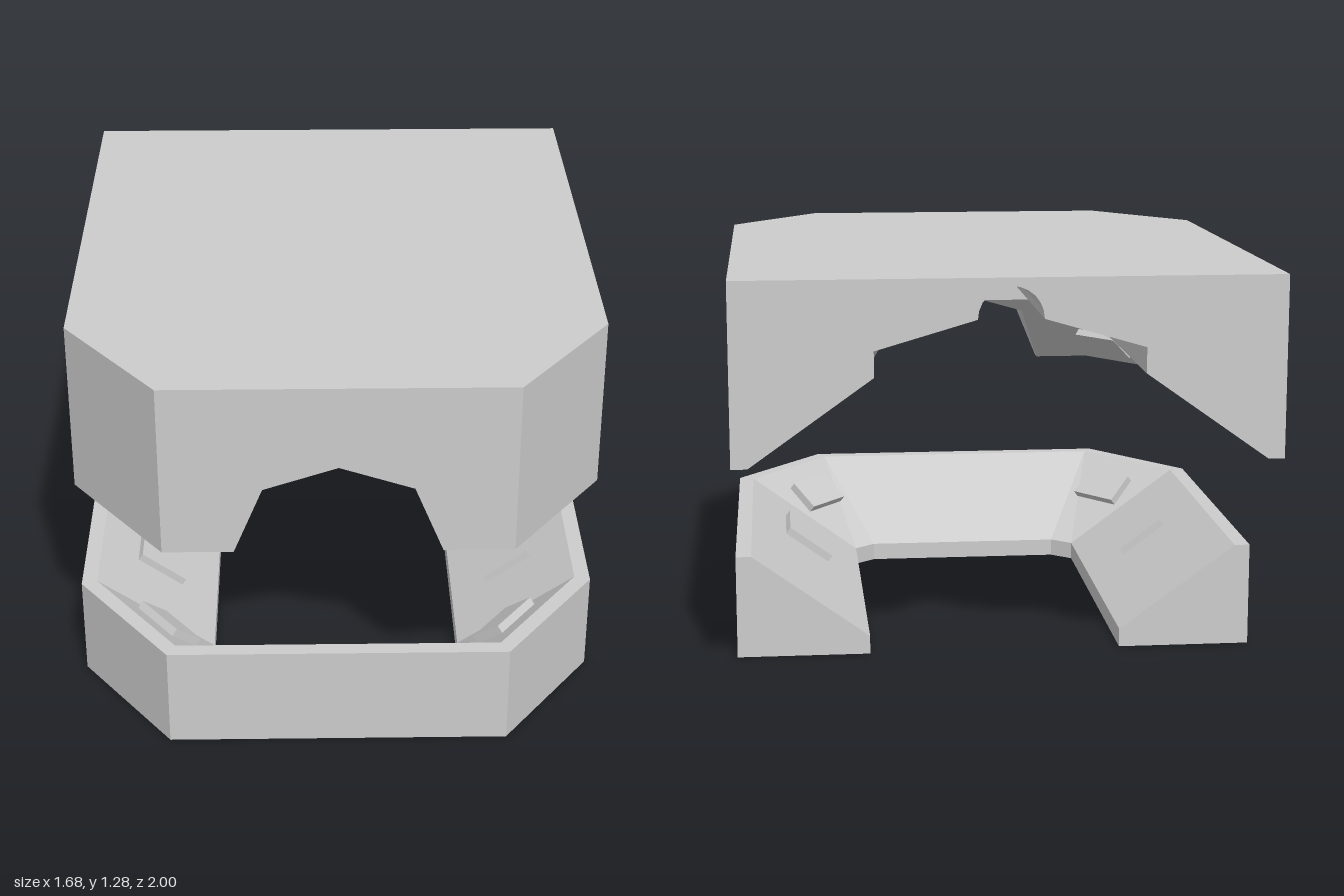
import * as THREE from 'three';

const V = (x, y, z) => new THREE.Vector3(x, y, z);

// Collects flat faces; each face is mirrored in x and turned towards dir.
class Faces {
  constructor() { this.data = []; }
  tri(a, b, c, dir) {
    const n = b.clone().sub(a).cross(c.clone().sub(a));
    const order = n.dot(dir) < 0 ? [a, c, b] : [a, b, c];
    for (const p of order) this.data.push(p.x, p.y, p.z);
    for (const p of order.reverse()) this.data.push(-p.x, p.y, p.z);
  }
  // Polygon in 3D, triangulated along the main axis of dir
  add(points, dir) {
    let tris = points.length === 3 ? [[0, 1, 2]] : [[0, 1, 2], [0, 2, 3]];
    if (points.length > 4) {
      const ax = Math.abs(dir.x), ay = Math.abs(dir.y), az = Math.abs(dir.z);
      const flat = points.map(p => ay >= ax && ay >= az ? new THREE.Vector2(p.x, p.z)
        : az >= ax ? new THREE.Vector2(p.x, p.y) : new THREE.Vector2(p.y, p.z));
      tris = THREE.ShapeUtils.triangulateShape(flat, []);
    }
    for (const [a, b, c] of tris) this.tri(points[a], points[b], points[c], dir);
  }
  // Strip between two paths; side = +1 faces outwards, -1 towards the middle
  band(a, b, side, up, from = 0) {
    for (let i = from; i < a.length - 1; i++) {
      const m = a[i].clone().add(a[i + 1]).multiplyScalar(0.5);
      const dir = up && !side ? V(0, up, 0) : V(m.x * side, up, m.z * side);
      // straight arms face sideways only
      if (side && a[i].x === a[i + 1].x) dir.z = 0;
      if (side && a[i].z === a[i + 1].z) dir.x = 0;
      this.add([a[i], a[i + 1], b[i + 1], b[i]], dir);
    }
  }
  mesh(name, material) {
    const g = new THREE.BufferGeometry();
    g.setAttribute('position', new THREE.Float32BufferAttribute(this.data, 3));
    g.computeVertexNormals();
    const m = new THREE.Mesh(g, material);
    m.name = name;
    return m;
  }
}

// Half outlines (x, z), from the front centre to the back
const outline = (back) => ({
  outer: [[0, 1], [0.54, 1], [0.84, 0.6], [0.84, back]],
  rim: [[0, 0.95], [0.515, 0.95], [0.79, 0.583], [0.79, back]],
  inner: [[0, 0.63], [0.34, 0.63], [0.41, 0.57], [0.41, back]],
});
const at = (path, y) => path.map(([x, z]) => V(x, y, z));

function lowerBase(material) {
  const f = new Faces(), o = outline(-0.56), H = 0.335, h = 0.06;
  f.band(at(o.outer, 0), at(o.outer, H), 1, 0);
  f.band(at(o.outer, H), at(o.rim, H), 0, 1);
  f.band(at(o.rim, H), at(o.inner, h), -1, 1);
  f.band(at(o.inner, h), at(o.inner, 0), -1, 0);
  f.band(at(o.inner, 0), at(o.outer, 0), 0, -1);
  // Arm ends
  f.add([[0.84, 0], [0.84, H], [0.79, H], [0.41, h], [0.41, 0]].map(([x, y]) => V(x, y, -0.56)), V(0, 0, -1));
  return f.mesh('lowerBase', material);
}

function upperBase(material) {
  const f = new Faces(), o = outline(-1);
  const Y0 = 0.72, Y1 = 0.99, Y2 = 1.07, Y3 = 1.16, TOP = 1.285, R = 0.1, ZC = 0.47;
  const down = V(0, -1, 0);
  // Top and outer walls (front wall apart)
  f.add([...at(o.outer, TOP), V(0, TOP, -1)], V(0, 1, 0));
  f.band(at(o.outer, Y0), at(o.outer, TOP), 1, 0, 1);
  // Rim, slope and inner wall of the cavity
  f.band(at(o.outer, Y0), at(o.rim, Y0), 0, -1, 1);
  f.band(at(o.rim, Y0), at(o.inner, Y1), -1, -1, 1);
  f.band(at(o.inner, Y1), at(o.inner, Y2), -1, 0, 1);
  // Front wall with its notch
  f.add([V(0, TOP, 1), V(0.54, TOP, 1), V(0.54, Y0, 1), V(0.32, Y0, 1), V(0.23, 0.94, 1), V(0, 1.015, 1)], V(0, 0, 1));
  const n0 = V(0.32, Y0, 0.95), n1 = V(0.23, 0.94, 0.689), n2 = V(0.077, Y1, 0.63), n3 = V(0, 1.015, 0.63);
  f.add([V(0.32, Y0, 1), V(0.54, Y0, 1), V(0.515, Y0, 0.95), n0], down);
  f.add([V(0.515, Y0, 0.95), n0, n1, n2, V(0.34, Y1, 0.63)], V(0, -1.01, -1));
  f.add([V(0.34, Y1, 0.63), V(0.34, Y2, 0.63), V(0, Y2, 0.63), n3, n2], V(0, 0, -1));
  f.add([V(0.32, Y0, 1), n0, n1, V(0.23, 0.94, 1)], V(-1, -0.4, 0));
  f.add([V(0.23, 0.94, 1), n1, n2, n3, V(0, 1.015, 1)], V(-0.3, -1, 0));
  // Cavity roof
  const ridge = V(R, Y3, ZC + R);
  f.add([V(0.41, Y2, -1), V(0.41, Y2, 0.57), ridge, V(R, Y3, -1)], down);
  f.add([V(0.41, Y2, 0.57), V(0.34, Y2, 0.63), ridge], down);
  f.add([V(0.34, Y2, 0.63), V(0, Y2, 0.63), V(0, Y3, ZC + R), ridge], down);
  // Centre groove with a domed front end
  const N = 6, ang = (i) => i / N * Math.PI / 2;
  const arc = (z) => Array.from({ length: N + 1 }, (_, i) => V(R * Math.cos(ang(i)), Y3 + R * Math.sin(ang(i)), z));
  const dome = (i, j) => V(R * Math.cos(ang(i)) * Math.cos(ang(j)), Y3 + R * Math.sin(ang(i)), ZC + R * Math.cos(ang(i)) * Math.sin(ang(j)));
  const back = arc(-1), front = arc(ZC);
  for (let i = 0; i < N; i++) {
    f.add([back[i], back[i + 1], front[i + 1], front[i]], V(-Math.cos(ang(i + 0.5)), -Math.sin(ang(i + 0.5)), 0));
    for (let j = 0; j < N; j++) {
      f.add([dome(i, j), dome(i + 1, j), dome(i + 1, j + 1), dome(i, j + 1)],
        V(0, Y3, ZC).sub(dome(i + 0.5, j + 0.5)));
    }
    f.add([ridge, dome(0, i), dome(0, i + 1)], down);
  }
  // Back wall
  const section = [[0, TOP], [0.84, TOP], [0.84, Y0], [0.79, Y0], [0.41, Y1], [0.41, Y2]].map(([x, y]) => V(x, y, -1));
  f.add([...section, ...back], V(0, 0, -1));
  return f.mesh('upperBase', material);
}

// Small raised block lying on a slope: position, run along it and slope normal
function pad(name, material, position, along, normal, w, d) {
  const m = new THREE.Mesh(new THREE.BoxGeometry(w, 0.05, d), material);
  const n = normal.normalize(), t = along.normalize();
  m.quaternion.setFromRotationMatrix(new THREE.Matrix4().makeBasis(t, n, t.clone().cross(n)));
  m.position.copy(position);
  m.name = name;
  return m;
}

export function createModel() {
  const group = new THREE.Group();
  const plaster = new THREE.MeshStandardMaterial({ color: 0xcccccc, flatShading: true });
  plaster.name = 'light grey plaster';
  group.add(lowerBase(plaster), upperBase(plaster));

  for (const s of [1, -1]) {
    // Arm pads and corner pads on the lower and upper slopes
    group.add(
      pad('lowerArmPad', plaster, V(s * 0.6, 0.198, 0.2), V(0, 0, 1), V(-s * 0.275, 0.38, 0), 0.26, 0.18),
      pad('upperArmPad', plaster, V(s * 0.56, 0.883, 0.38), V(0, 0, 1), V(-s * 0.27, -0.38, 0), 0.24, 0.16),
      pad('lowerCornerPad', plaster, V(s * 0.555, 0.24, 0.71), V(s * 0.6, 0, -0.8), V(-s * 0.22, 0.32, -0.165), 0.2, 0.12),
      pad('upperCornerPad', plaster, V(s * 0.555, 0.815, 0.71), V(s * 0.6, 0, -0.8), V(-s * 0.22, -0.32, -0.165), 0.2, 0.12),
    );
  }
  group.position.y = 0;
  return group;
}
